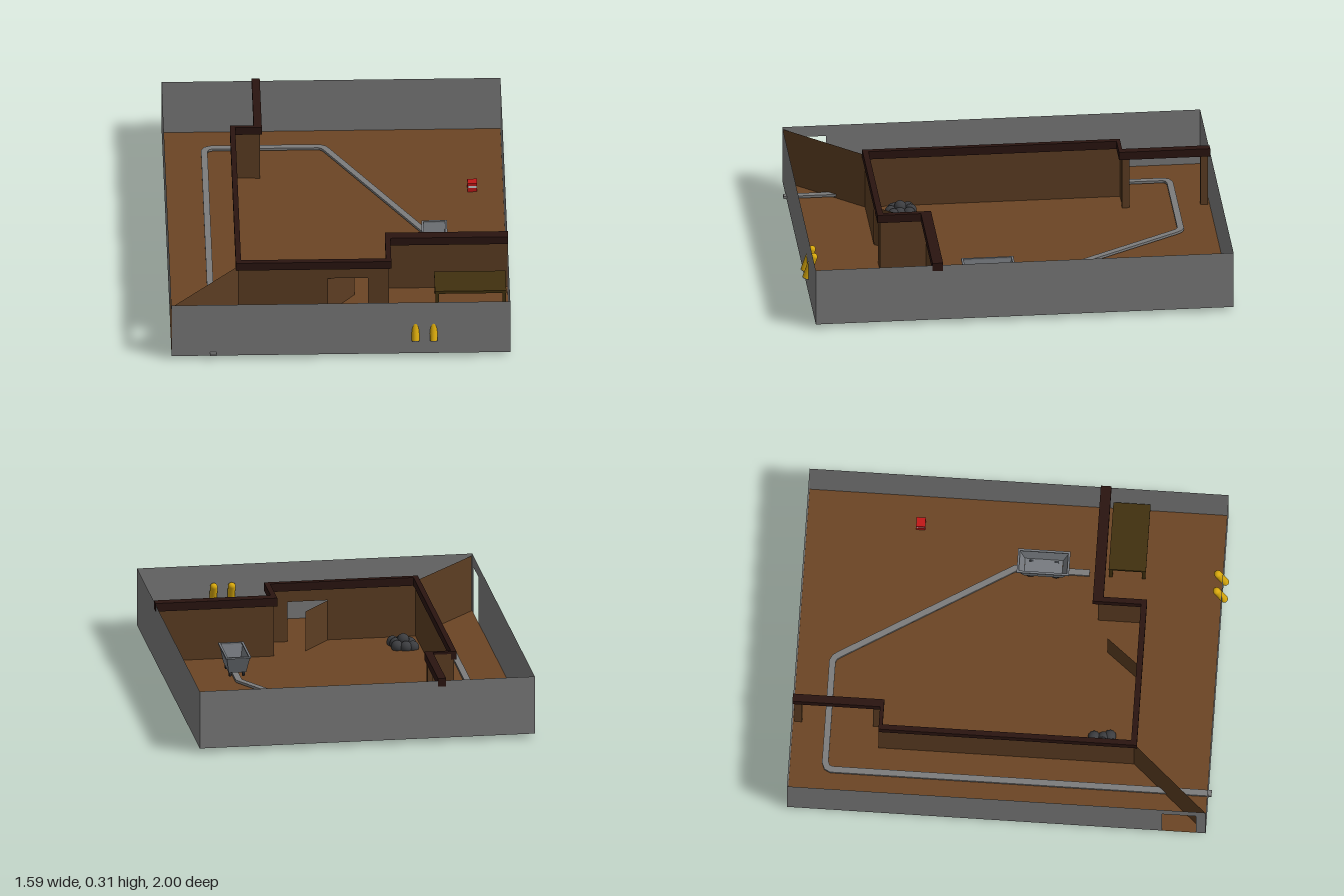
import * as THREE from 'three';

const mat = (color, opts = {}) => new THREE.MeshStandardMaterial({ color, ...opts });
const thin = { side: THREE.DoubleSide };
const M = {
  stone: mat(0x7a7a7a, thin),
  soil: mat(0x6b4524, thin),
  timber: mat(0x5c3d22, thin),
  beam: mat(0x2a1410),
  bench: mat(0x40300f),
  rail: mat(0x7c7c7c),
  cart: mat(0x777b80, thin),
  iron: mat(0x33363a),
  coal: mat(0x3c3d40),
  yellow: mat(0xd9a90c),
  red: mat(0xc01818),
  white: mat(0xeeeeee),
};
const FLOOR = 0.025, TOP = 0.305;

export function createModel() {
  const root = new THREE.Group();

  const add = (name, geometry, material, x = 0, y = 0, z = 0, parent = root) => {
    const m = new THREE.Mesh(geometry, material);
    m.name = name;
    m.position.set(x, y, z);
    parent.add(m);
    return m;
  };
  // box given by its minimum and maximum corners
  const box = (name, material, a, b, parent) => add(name,
    new THREE.BoxGeometry(b[0] - a[0], b[1] - a[1], b[2] - a[2]), material,
    (a[0] + b[0]) / 2, (a[1] + b[1]) / 2, (a[2] + b[2]) / 2, parent);
  // upright sheet between two plan points, with an optional doorway [start, end, height]
  const wall = (name, material, p, q, top = TOP, door) => {
    const dx = q[0] - p[0], dz = q[1] - p[1], len = Math.hypot(dx, dz);
    const s = new THREE.Shape();
    s.moveTo(0, FLOOR);
    if (door) {
      s.lineTo(door[0], FLOOR);
      s.lineTo(door[0], door[2]);
      s.lineTo(door[1], door[2]);
      s.lineTo(door[1], FLOOR);
    }
    s.lineTo(len, FLOOR);
    s.lineTo(len, top);
    s.lineTo(0, top);
    const m = add(name, new THREE.ShapeGeometry(s), material, p[0], 0, p[1]);
    m.rotation.y = Math.atan2(-dz, dx);
    return m;
  };

  // floor and outer walls, with a doorway near the front of the right-hand wall
  const floor = add('floor', new THREE.PlaneGeometry(1.59, 1.97), M.soil, -0.005, FLOOR, -0.015);
  floor.rotation.x = -Math.PI / 2;
  wall('frontWall', M.stone, [-0.8, 0.97], [0.79, 0.97]);
  wall('backWall', M.stone, [-0.8, -1], [0.79, -1]);
  wall('leftWall', M.stone, [0.79, -1], [0.79, 0.97]);
  wall('rightWall', M.stone, [-0.8, -1], [-0.8, 0.97], TOP, [1.765, 1.925, 0.25]);

  // timber partitions
  wall('backPartition', M.timber, [-0.477, -0.59], [-0.36, -0.59]);
  wall('sidePartition', M.timber, [-0.477, -0.59], [-0.477, 0.612]);
  wall('frontPartition', M.timber, [-0.477, 0.612], [0.228, 0.612], TOP, [0.417, 0.607, 0.22]);
  wall('stepPartition', M.timber, [0.228, 0.612], [0.228, 0.395]);
  wall('shortPartition', M.timber, [0.228, 0.395], [0.79, 0.395]);
  wall('cornerPartition', M.timber, [-0.795, 0.965], [-0.477, 0.612], 0.295);
  wall('openDoor', M.timber, [-0.06, 0.61], [0.07, 0.45], 0.22);
  for (const z of [-0.605, -0.975])
    box('gatePost', M.timber, [-0.372, FLOOR, z - 0.018], [-0.348, 0.28, z + 0.018]);

  // dark beams along the partition tops
  for (const [x0, z0, x1, z1] of [
    [-0.378, -1.002, -0.34, -0.58],
    [-0.49, -0.59, -0.34, -0.572],
    [-0.49, -0.59, -0.465, 0.625],
    [-0.49, 0.597, 0.24, 0.625],
    [0.215, 0.37, 0.24, 0.625],
    [0.215, 0.37, 0.793, 0.42],
  ]) box('topBeam', M.beam, [x0, 0.277, z0], [x1, 0.317, z1]);

  // bench
  const bench = new THREE.Group();
  bench.name = 'bench';
  root.add(bench);
  box('benchTop', M.bench, [0.445, 0.122, 0.43], [0.78, 0.136, 0.605], bench);
  for (const x of [0.455, 0.77]) for (const z of [0.44, 0.595])
    box('benchLeg', M.bench, [x - 0.008, FLOOR, z - 0.008], [x + 0.008, 0.122, z + 0.008], bench);

  // track: a flat strip following a path, mitred at each bend
  const track = (name, pts, w) => {
    const side = [[], []];
    pts.forEach((p, i) => {
      const a = pts[Math.max(i - 1, 0)], b = pts[Math.min(i + 1, pts.length - 1)];
      const unit = (u, v) => new THREE.Vector2(v[0] - u[0], v[1] - u[1]).normalize();
      const d1 = i ? unit(a, p) : unit(p, b);
      const d2 = i < pts.length - 1 ? unit(p, b) : d1;
      const t = d1.clone().add(d2).normalize();
      const k = w / 2 / t.dot(d1);
      side[0].push(new THREE.Vector2(p[0] - t.y * k, -(p[1] + t.x * k)));
      side[1].unshift(new THREE.Vector2(p[0] + t.y * k, -(p[1] - t.x * k)));
    });
    const g = new THREE.ExtrudeGeometry(new THREE.Shape([...side[0], ...side[1]]),
      { depth: 0.012, bevelEnabled: false });
    g.rotateX(-Math.PI / 2);
    add(name, g, M.rail, 0, 0.032, 0);
  };
  track('track', [[-0.605, 0.985], [-0.605, -0.805], [-0.595, -0.825], [-0.57, -0.835],
    [-0.065, -0.835], [-0.045, -0.825], [-0.03, -0.805], [0.455, -0.01], [0.455, 0.34]], 0.03);

  // cart: tapered open tub with a rim, chassis and wheels
  const cart = new THREE.Group();
  cart.name = 'cart';
  cart.position.set(0.455, 0, 0.123);
  root.add(cart);
  const tub = new THREE.CylinderGeometry(Math.SQRT1_2, 0.75 * Math.SQRT1_2, 0.08, 4, 1, true);
  tub.rotateY(Math.PI / 4);
  tub.scale(0.112, 1, 0.238);
  add('cartTub', tub.toNonIndexed(), mat(0x777b80, { side: THREE.DoubleSide, flatShading: true }), 0, 0.108, 0, cart);
  box('cartFloor', M.cart, [-0.042, 0.066, -0.089], [0.042, 0.072, 0.089], cart);
  for (const s of [-1, 1]) {
    box('cartSideRim', M.cart, [s * 0.055 - 0.005, 0.142, -0.123], [s * 0.055 + 0.005, 0.15, 0.123], cart);
    box('cartEndRim', M.cart, [-0.06, 0.142, s * 0.118 - 0.005], [0.06, 0.15, s * 0.118 + 0.005], cart);
    for (const z of [-0.06, 0.06]) {
      const wheel = add('cartWheel', new THREE.CylinderGeometry(0.018, 0.018, 0.01, 16), M.iron, s * 0.032, 0.058, z, cart);
      wheel.rotation.z = Math.PI / 2;
    }
  }

  // heap of coal lumps
  const heap = [[-0.435, 0.415], [-0.4, 0.405], [-0.36, 0.415], [-0.43, 0.475], [-0.395, 0.455],
    [-0.36, 0.46], [-0.425, 0.485], [-0.39, 0.5], [-0.35, 0.49]];
  heap.forEach(([x, z], i) => add('coalLump', new THREE.SphereGeometry(0.029, 16, 10), M.coal,
    x, i === 4 ? 0.06 : 0.034 + (i % 3) * 0.003, z));

  // leaning yellow tanks whose feet poke through the front wall
  for (const x of [0.345, 0.43]) {
    const tank = new THREE.Group();
    tank.name = 'tank';
    tank.position.set(x, 0.102, 0.98);
    tank.rotation.x = -0.33;
    root.add(tank);
    add('tankBody', new THREE.CylinderGeometry(0.018, 0.018, 0.11, 20), M.yellow, 0, 0.055, 0, tank);
    add('tankDome', new THREE.SphereGeometry(0.018, 20, 10, 0, Math.PI * 2, 0, Math.PI / 2), M.yellow, 0, 0.11, 0, tank);
    add('tankFoot', new THREE.CylinderGeometry(0.0175, 0.0175, 0.004, 20), M.rail, 0, -0.001, 0, tank);
  }

  // small red and white supply box
  box('supplyBoxBase', M.red, [0.622, FLOOR, -0.488], [0.668, 0.045, -0.445]);
  box('supplyBoxBand', M.white, [0.624, 0.045, -0.486], [0.666, 0.058, -0.447]);
  box('supplyBoxLid', M.red, [0.622, 0.058, -0.488], [0.668, 0.07, -0.445]);

  return root;
}
